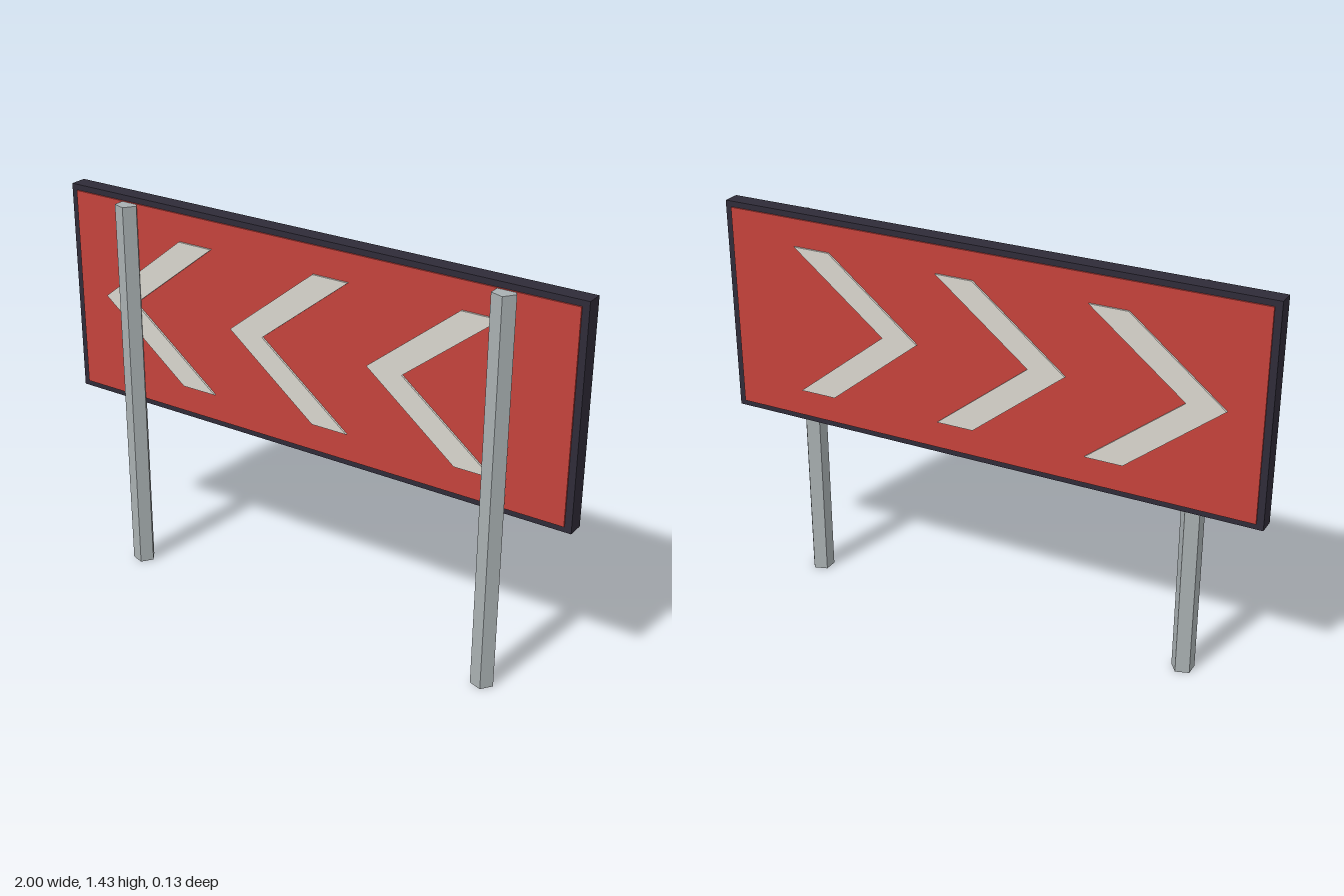
import * as THREE from 'three';

const mat = (color) => new THREE.MeshStandardMaterial({ color, flatShading: true });

export function createModel() {
  const group = new THREE.Group();
  const frameMat = mat(0x2f2b38);
  const redMat = mat(0xc4423b);
  const arrowMat = mat(0xd8d5cd);
  const postMat = mat(0xa9b0b2);

  const midY = 1.038;
  const midZ = -0.0225;

  const add = (name, geometry, material, x, y, z) => {
    const mesh = new THREE.Mesh(geometry, material);
    mesh.name = name;
    mesh.position.set(x, y, z);
    group.add(mesh);
  };

  // Dark board whose edge shows as a border, with a red panel proud of both faces
  add('frame', new THREE.BoxGeometry(2, 0.776, 0.061), frameMat, 0, midY, midZ);
  add('panel', new THREE.BoxGeometry(1.952, 0.735, 0.072), redMat, 0, midY, midZ);

  // Three chevrons, running through the board so they show on both faces
  const depth = 0.086;
  const chevron = new THREE.Shape([
    [0, 0], [0.338, -0.269], [0.475, -0.269], [0.134, 0], [0.475, 0.269], [0.338, 0.269],
  ].map(([x, y]) => new THREE.Vector2(x, y)));
  const chevronGeo = new THREE.ExtrudeGeometry(chevron, { depth, bevelEnabled: false });
  for (let i = 0; i < 3; i++) {
    add('chevron' + (i + 1), chevronGeo, arrowMat, -0.856 + i * 0.55, midY, midZ - depth / 2);
  }

  // Five-sided posts, both with a corner towards +x
  const postHeight = 1.404;
  const postGeo = new THREE.CylinderGeometry(0.0415, 0.0415, postHeight, 5, 1, false, Math.PI / 2);
  add('rightPost', postGeo, postMat, -0.734, postHeight / 2, 0.028);
  add('leftPost', postGeo, postMat, 0.732, postHeight / 2, 0.028);

  return group;
}
